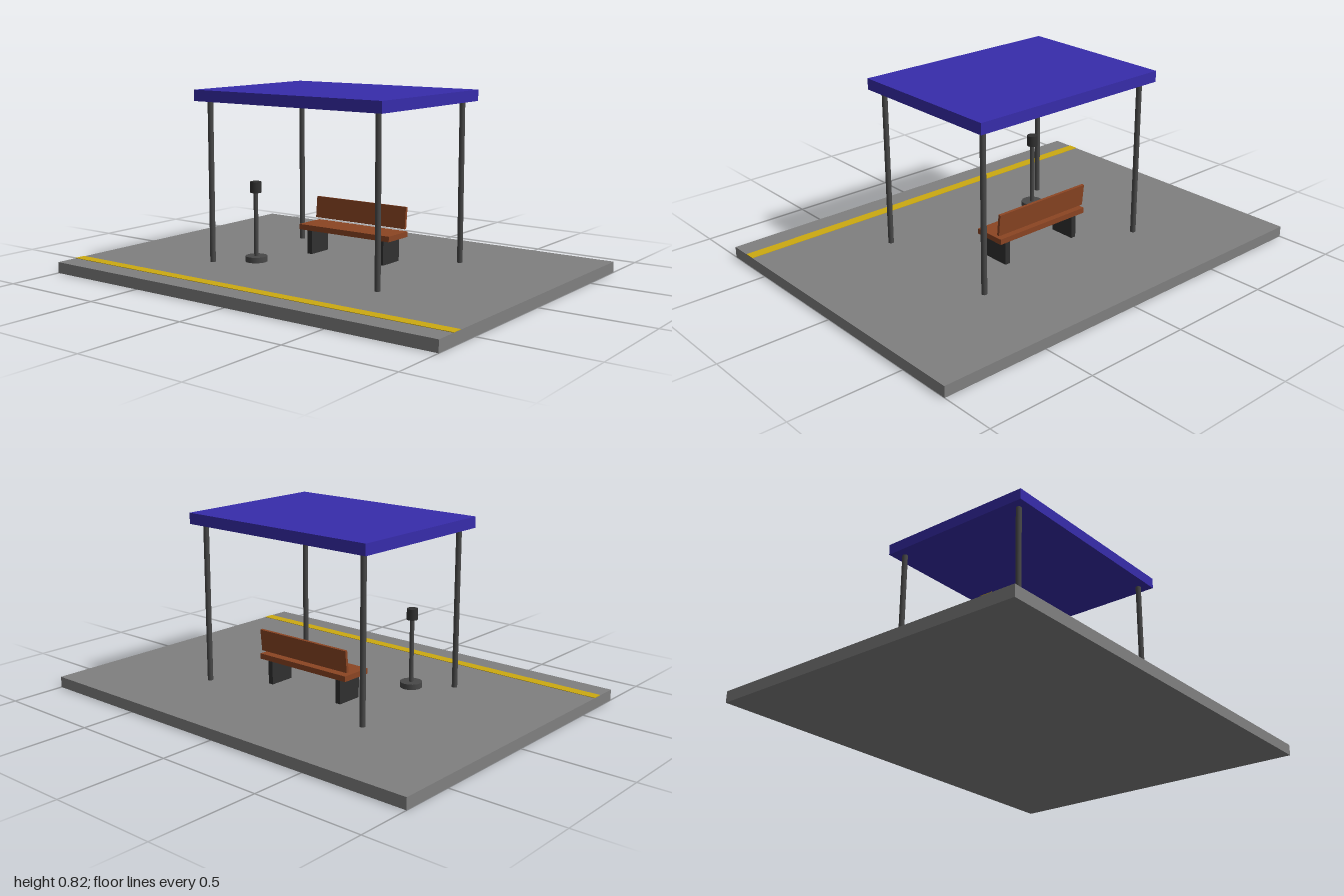
import * as THREE from 'three';

const mat = (name, color) => {
  const m = new THREE.MeshStandardMaterial({ color });
  m.name = name;
  return m;
};

export function createModel() {
  const concrete = mat('concrete', 0x808080);
  const roofBlue = mat('roofBlue', 0x372cab);
  const steel = mat('steel', 0x484848);
  const wood = mat('wood', 0x8b4523);
  const darkMetal = mat('darkMetal', 0x303030);
  const yellow = mat('yellow', 0xccaa11);

  const model = new THREE.Group();
  model.name = 'shelterStop';

  const add = (parent, name, geometry, material, x, y, z) => {
    const mesh = new THREE.Mesh(geometry, material);
    mesh.name = name;
    mesh.position.set(x, y, z);
    parent.add(mesh);
    return mesh;
  };
  const box = (w, h, d) => new THREE.BoxGeometry(w, h, d);
  const rod = (r, h) => new THREE.CylinderGeometry(r, r, h, 16);
  const group = (name) => {
    const g = new THREE.Group();
    g.name = name;
    model.add(g);
    return g;
  };

  // Platform with a painted safety line along the front
  add(model, 'platform', box(2, 0.05, 1.5), concrete, 0, 0.025, 0);
  add(model, 'safetyLine', box(2, 0.002, 0.05), yellow, 0, 0.051, 0.625);

  // Flat roof on four posts
  const shelter = group('shelter');
  add(shelter, 'roof', box(1, 0.05, 0.75), roofBlue, 0, 0.8, 0);
  for (const x of [-0.45, 0.45]) {
    for (const z of [-0.325, 0.325]) {
      add(shelter, 'roofPost', rod(0.0125, 0.725), steel, x, 0.4125, z);
    }
  }

  // Bench with slab legs and a slightly reclined backrest
  const bench = group('bench');
  add(bench, 'seat', box(0.5, 0.025, 0.15), wood, 0, 0.175, -0.125);
  const back = add(bench, 'backrest', box(0.5, 0.1, 0.0125), wood, 0, 0.25, -0.1875);
  back.rotation.x = -0.1;
  for (const x of [-0.2, 0.2]) {
    add(bench, 'benchLeg', box(0.025, 0.1125, 0.125), darkMetal, x, 0.10625, -0.125);
  }

  // Short lamp standing on a round foot
  const lamp = group('lamp');
  lamp.position.set(-0.3, 0, 0.2);
  add(lamp, 'lampFoot', rod(0.05, 0.025), steel, 0, 0.0625, 0);
  add(lamp, 'lampPole', rod(0.01, 0.29), steel, 0, 0.22, 0);
  add(lamp, 'lampHead', rod(0.025, 0.05), darkMetal, 0, 0.3885, 0);

  return model;
}
